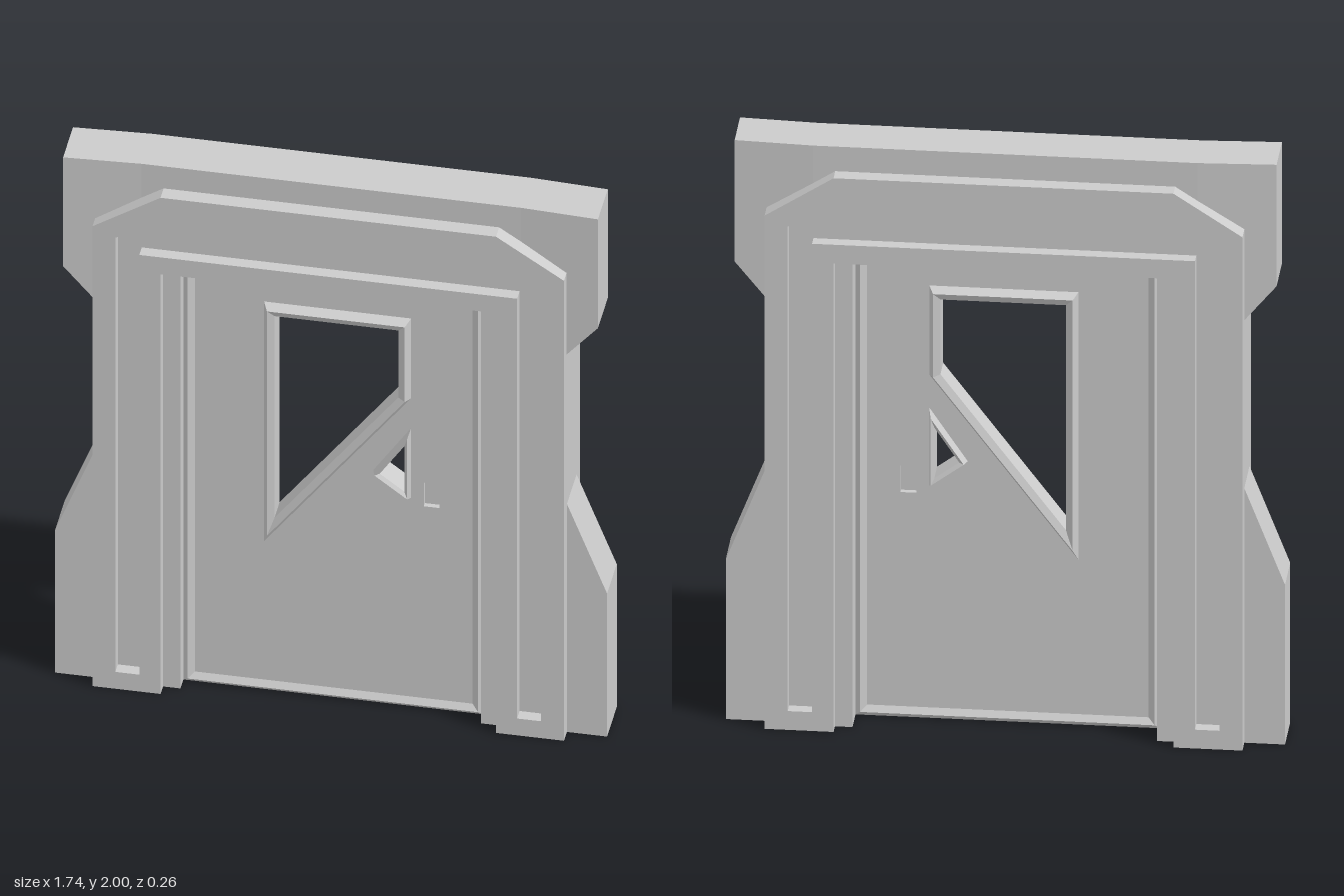
import * as THREE from 'three';

const material = new THREE.MeshStandardMaterial({ color: 0xcccccc, flatShading: true });

// Adds the mirror image (x -> -x) of a half outline, in reverse order
const mirrored = (half) => [...half, ...half.map(([x, y]) => [-x, y]).reverse()];

const toVectors = (pts) => pts.map(([x, y]) => new THREE.Vector2(x, y));

// Prism between z0 and z1 with optional holes
function slab(pts, z0, z1, holes = []) {
  const shape = new THREE.Shape(toVectors(pts));
  shape.holes = holes.map((h) => new THREE.Path(toVectors(h)));
  const geo = new THREE.ExtrudeGeometry(shape, { depth: z1 - z0, bevelEnabled: false });
  return geo.translate(0, 0, z0);
}

// Moves every side of a counter-clockwise polygon inwards by d
function inset(pts, d) {
  const n = pts.length;
  return pts.map(([x, y], i) => {
    const [px, py] = pts[(i + n - 1) % n];
    const [qx, qy] = pts[(i + 1) % n];
    const a = Math.hypot(x - px, y - py), b = Math.hypot(qx - x, qy - y);
    const n1 = [-(y - py) / a, (x - px) / a], n2 = [-(qy - y) / b, (qx - x) / b];
    const k = d / (1 + n1[0] * n2[0] + n1[1] * n2[1]);
    return [x + k * (n1[0] + n2[0]), y + k * (n1[1] + n2[1])];
  });
}

// Trim round a polygon; profile holds [inset, height] steps, side is 1 for front, -1 for back
function trim(pts, profile, z, side) {
  const loops = profile.map(([d, h]) => inset(pts, d).map(([x, y]) => [x, y, side * (z + h)]));
  const pos = [];
  for (let l = 0; l < loops.length - 1; l++) {
    for (let i = 0; i < pts.length; i++) {
      const j = (i + 1) % pts.length;
      const quad = [loops[l][i], loops[l][j], loops[l + 1][j], loops[l + 1][i]];
      if (side < 0) quad.reverse();
      for (const k of [0, 1, 2, 0, 2, 3]) pos.push(...quad[k]);
    }
  }
  const geo = new THREE.BufferGeometry();
  geo.setAttribute('position', new THREE.Float32BufferAttribute(pos, 3));
  geo.computeVertexNormals();
  return geo;
}

export function createModel() {
  const model = new THREE.Group();
  model.name = 'doorway';
  const add = (name, geo, parent = model) => {
    const mesh = new THREE.Mesh(geo, material);
    mesh.name = name;
    parent.add(mesh);
  };

  const frameZ = 0.13, stepZ = 0.09, top = 1.62;

  // Frame: stepped core, then a raised layer with a sunken channel on both faces
  const arch = (inner) =>
    mirrored([[inner, top], [inner, 0], [0.745, 0], [0.745, 1.775], [0.53, 1.915]]);
  const channel = mirrored([[0.597, 1.685], [0.597, 0.065], [0.673, 0.065], [0.673, 1.74], [0.505, 1.85]]);
  add('frameCore', slab(arch(0.475), -stepZ, stepZ));
  add('frameFront', slab(arch(0.53), stepZ, frameZ, [channel]));
  add('frameBack', slab(arch(0.53), -frameZ, -stepZ, [channel]));

  // Header block: straight middle, ends leaning slightly forward
  add('headerMiddle', slab([[-0.6, 1.72], [0.6, 1.72], [0.6, 2], [-0.6, 2]], -0.08, 0.08));
  const headerEnd = [[0.6, 1.46], [0.745, 1.46], [0.845, 1.58], [0.845, 2], [0.6, 2]];
  const buttress = [[0.7, 0], [0.872, 0], [0.872, 0.552], [0.745, 0.88], [0.7, 0.88]];
  for (const [side, label] of [[1, 'left'], [-1, 'right']]) {
    const place = (pts) => (side > 0 ? pts : pts.map(([x, y]) => [-x, y]).reverse());
    const end = slab(place(headerEnd), -0.08, 0.08);
    const p = end.attributes.position;
    for (let i = 0; i < p.count; i++) {
      p.setZ(i, p.getZ(i) + 0.055 * (Math.abs(p.getX(i)) - 0.6));
    }
    end.computeVertexNormals();
    add(label + 'HeaderEnd', end);
    // Buttress at the foot of the jamb
    add(label + 'Buttress', slab(place(buttress), -0.074, 0.083));
  }

  // Thin door panel, set a little forward, with two windows and a sunken handle pocket
  const door = new THREE.Group();
  door.name = 'door';
  door.position.z = 0.021;
  model.add(door);
  const doorZ = 0.021;
  const edge = [[-0.475, 0], [0.475, 0], [0.475, top], [-0.475, top]];
  const bigWindow = [[-0.22, 0.57], [0.245, 1.187], [0.245, 1.495], [-0.22, 1.495]];
  const smallWindow = [[0.125, 0.893], [0.245, 0.803], [0.245, 1.073]];
  const pocket = [[0.285, 0.776], [0.335, 0.776], [0.335, 0.867], [0.285, 0.867]];
  add('doorPanel', slab(edge, -doorZ, doorZ,
    [inset(bigWindow, 0.037), inset(smallWindow, 0.018), pocket]), door);
  add('handlePocketFloor', slab(pocket, -0.004, 0.004), door);

  // Raised trims on both faces; those of the windows continue down into the opening
  const windowProfile = (w) => [[0, 0], [0.4 * w, 0.03], [w, 0.02], [w, 0]];
  for (const [side, label] of [[1, 'Front'], [-1, 'Back']]) {
    add('doorTrim' + label, trim(edge, [[0, 0], [0.016, 0.014], [0.036, 0]], doorZ, side), door);
    add('bigWindowTrim' + label, trim(bigWindow, windowProfile(0.037), doorZ, side), door);
    add('smallWindowTrim' + label, trim(smallWindow, windowProfile(0.018), doorZ, side), door);
  }
  return model;
}
